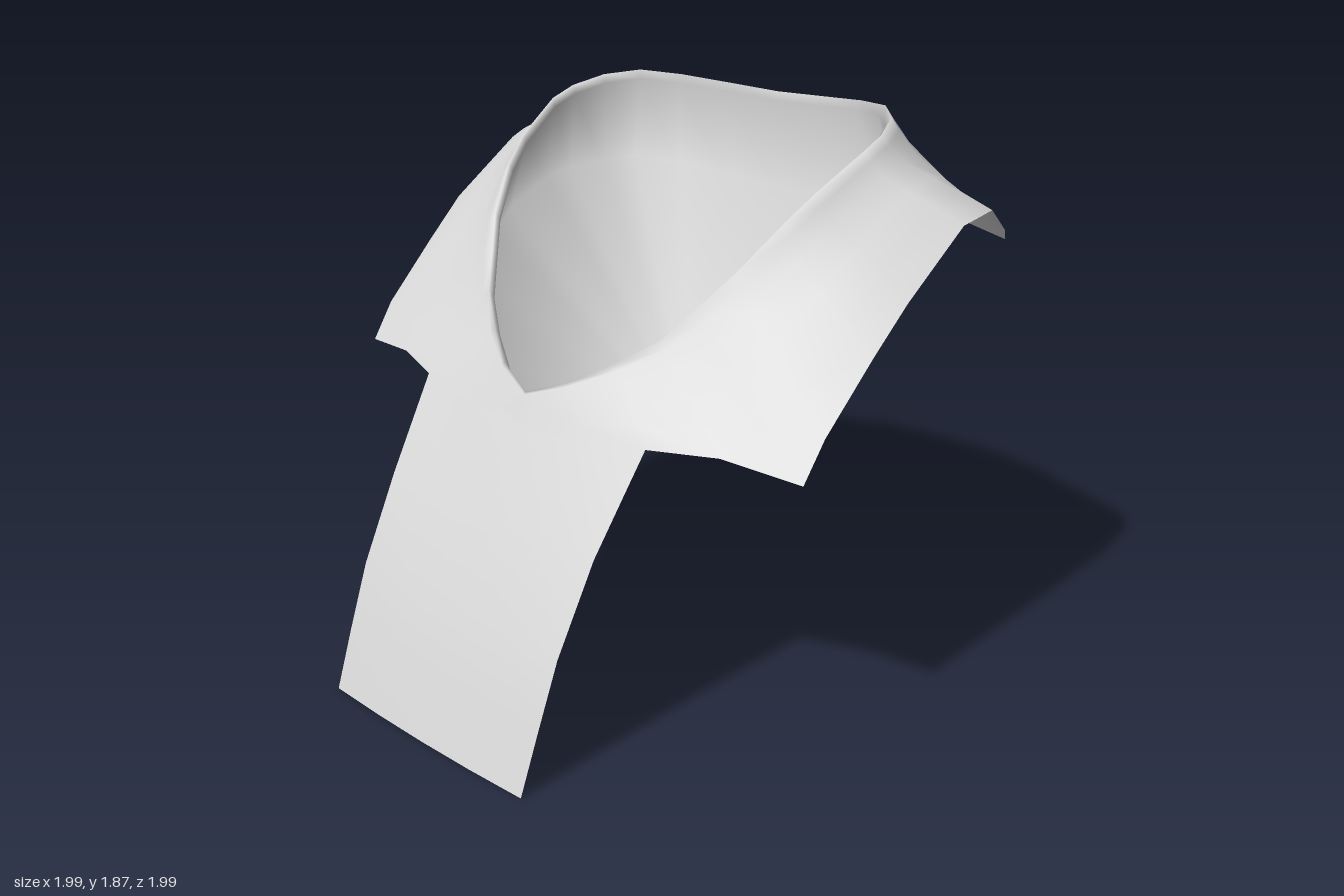
import * as THREE from 'three';

const { clamp, lerp, mapLinear } = THREE.MathUtils;

// Half outline of the neck opening, centre front to centre back (left side, +x)
const RIM = [
  [0, 1.06, 0.49], [0.14, 1.115, 0.45], [0.27, 1.185, 0.375], [0.39, 1.27, 0.29], [0.47, 1.38, 0.195],
  [0.54, 1.48, 0.11], [0.61, 1.62, -0.03], [0.645, 1.7, -0.14], [0.68, 1.8, -0.33], [0.675, 1.835, -0.43],
  [0.63, 1.865, -0.55], [0.54, 1.88, -0.65], [0.4, 1.87, -0.72], [0.2, 1.855, -0.765], [0, 1.845, -0.785],
];
// Matching half outline of the cape hem
const HEM = [
  [0, 0.95, 0.545], [0.25, 0.97, 0.52], [0.5, 1.0, 0.48], [0.72, 1.01, 0.4], [0.98, 0.98, 0.34],
  [0.985, 1.1, 0.25], [0.99, 1.29, 0.03], [0.995, 1.42, -0.13], [0.995, 1.6, -0.42], [0.96, 1.6, -0.65],
  [0.93, 1.5, -0.8], [0.88, 1.44, -0.9], [0.65, 1.46, -0.97], [0.35, 1.46, -0.99], [0, 1.46, -1],
];
// How far the bowl edge spreads sideways beyond the rim, per half-outline point
const SPREAD = [1, 1, 1, 1.02, 1.06, 1.11, 1.14, 1.12, 1.07, 1.04, 1.03, 1.06, 1.03, 1, 1];
const APEX = [0, 0.63, -0.34];

// Mirror a half outline into a closed loop; the right side is slightly narrower towards the front
const mirrored = (half) => half.slice(1, -1).reverse();
const loop = (half) => [...half, ...mirrored(half).map(([x, y, z]) =>
  [-x * (1 - 0.035 * clamp((z + 0.2) / 0.5, 0, 1)), y, z])];

export function createModel() {
  const grey = new THREE.MeshStandardMaterial({ color: 0xd6d6d6, side: THREE.DoubleSide });
  grey.name = 'light grey';

  const rim = loop(RIM), hem = loop(HEM), n = rim.length;
  const spread = [...SPREAD, ...mirrored(SPREAD)];
  const points = [];
  const addRow = (row) => {
    const start = points.length / 3;
    row.forEach((p) => points.push(...p));
    return row.map((_, i) => start + i);
  };
  const strip = (index, inner, outer, closed) => {
    const count = inner.length;
    for (let i = 0; i < (closed ? count : count - 1); i++) {
      const k = (i + 1) % count;
      index.push(inner[i], outer[i], outer[k], inner[i], outer[k], inner[k]);
    }
  };

  // Lining: a pointed bowl hanging from the neck opening, widest below the shoulders
  const liningIndex = [];
  const apex = addRow([APEX])[0];
  const bowlRing = addRow(rim.map(([x, y, z], i) =>
    [x * spread[i], y - mapLinear(z, 0.49, -0.78, 0.21, 0.35), z * 1.02]));
  const lip = addRow(rim.map(([x, y, z]) => [x * 0.975, y - 0.03, -0.2 + (z + 0.2) * 0.97]));
  const crest = addRow(rim);
  for (let i = 0; i < n; i++) liningIndex.push(apex, bowlRing[i], bowlRing[(i + 1) % n]);
  strip(liningIndex, bowlRing, lip, true);
  strip(liningIndex, lip, crest, true);

  // Cape: rolls over the rim, dips slightly, then spreads to the hem
  const capeIndex = [];
  let previous = crest;
  for (const [t, sag] of [[0.07, 0.015], [0.2, 0.035], [0.45, 0.025], [0.72, 0.008], [1, 0]]) {
    const row = addRow(rim.map((r, i) => {
      const p = r.map((v, a) => lerp(v, hem[i][a], t));
      p[1] -= sag * clamp(Math.abs(r[0]) / 0.6 - Math.max(r[2], 0), 0, 1);
      return p;
    }));
    strip(capeIndex, previous, row, true);
    previous = row;
  }

  // Front panel: continues the middle of the hem down to the floor
  const panelIndex = [];
  let above = [n - 2, n - 1, 0, 1, 2].map((i) => previous[i]);
  for (const [y, z, width] of [[0.7, 0.685, 0.47], [0.42, 0.835, 0.46], [0.2, 0.92, 0.455], [0.01, 0.99, 0.45]]) {
    const row = addRow([-1, -0.5, 0, 0.5, 1].map((u) =>
      [u * width + 0.005, y, z - 0.012 * u * u + 0.007 * u]));
    strip(panelIndex, above, row, false);
    above = row;
  }

  // One set of smooth normals shared by all three parts
  const whole = new THREE.BufferGeometry();
  whole.setAttribute('position', new THREE.Float32BufferAttribute(points, 3));
  whole.setIndex([...liningIndex, ...capeIndex, ...panelIndex]);
  whole.computeVertexNormals();

  const group = new THREE.Group();
  group.name = 'cowl';
  for (const [name, index] of [['lining', liningIndex], ['cape', capeIndex], ['frontPanel', panelIndex]]) {
    const geometry = new THREE.BufferGeometry();
    geometry.setAttribute('position', whole.getAttribute('position'));
    geometry.setAttribute('normal', whole.getAttribute('normal'));
    geometry.setIndex(index);
    const mesh = new THREE.Mesh(geometry, grey);
    mesh.name = name;
    group.add(mesh);
  }
  return group;
}
